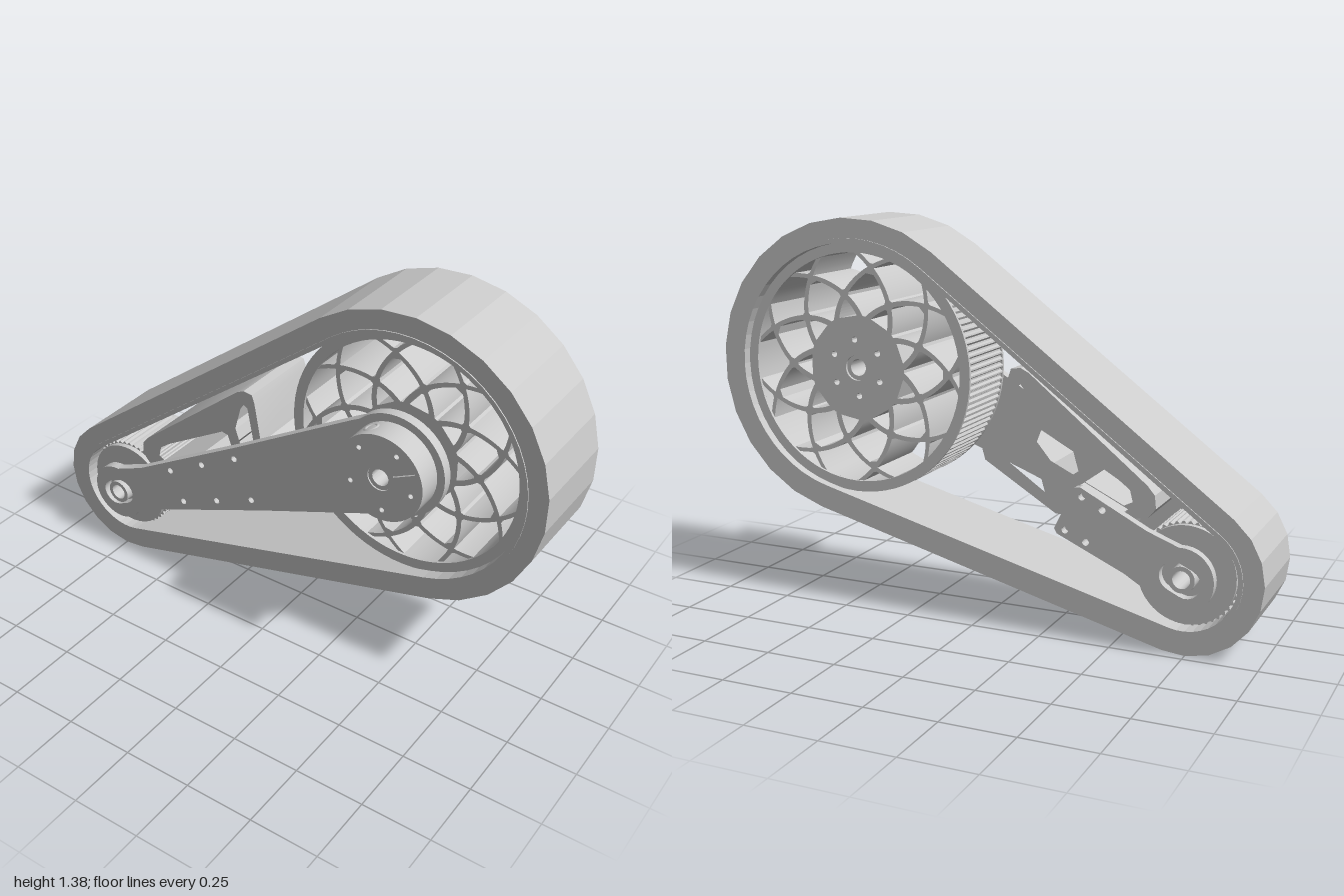
import * as THREE from 'three';
import { toCreasedNormals } from 'three/addons/utils/BufferGeometryUtils.js';

const SMALL = new THREE.Vector2(-0.74, 0.27), BIG = new THREE.Vector2(0.475, 0.86);
const L = SMALL.distanceTo(BIG);
const TILT = Math.atan2(BIG.y - SMALL.y, BIG.x - SMALL.x);
const DEG = Math.PI / 180;
const grey = new THREE.MeshStandardMaterial({ color: 0xcccccc });

const P = (x, y) => new THREE.Vector2(x, y);
// points on an arc
function arc(cx, cy, r, a0, a1, n) {
  return Array.from({ length: n + 1 }, (_, i) => {
    const a = a0 + (a1 - a0) * i / n;
    return P(cx + r * Math.cos(a), cy + r * Math.sin(a));
  });
}
const circle = (cx, cy, r, n = 24) => arc(cx, cy, r, 0, 2 * Math.PI * (1 - 1 / n), n - 1);

// plate between two depths, with holes
function plate(name, outline, holes, z0, z1, crease = 25) {
  const shape = new THREE.Shape(outline);
  shape.holes = holes.map(h => new THREE.Path(h));
  let geo = new THREE.ExtrudeGeometry(shape, { depth: z1 - z0, bevelEnabled: false });
  geo.translate(0, 0, z0);
  if (crease) geo = toCreasedNormals(geo, crease * DEG);
  const mesh = new THREE.Mesh(geo, grey);
  mesh.name = name;
  return mesh;
}

// outline of a loop wrapped round both wheels
function loop(R, r, nBig, nSmall) {
  const b = Math.asin((R - r) / L), q = Math.PI / 2;
  return [...arc(L, 0, R, -q - b, q + b, nBig), ...arc(0, 0, r, q + b, 3 * q - b, nSmall)];
}

// toothed wheel outline
function gear(cx, r, depth, teeth) {
  const pts = [];
  for (let i = 0; i < teeth; i++) {
    [[0, r - depth], [0.25, r], [0.5, r], [0.75, r - depth]].forEach(([f, q]) => {
      const a = (i + f) / teeth * 2 * Math.PI;
      pts.push(P(cx + q * Math.cos(a), q * Math.sin(a)));
    });
  }
  return pts;
}

// window between two crossing spokes; half(r) is its half angle
function cell(theta, r0, r1, half, strut = 0.012) {
  const left = [], right = [], n = 16;
  for (let i = 0; i <= n; i++) {
    const r = r0 + (r1 - r0) * i / n, w = half(r) - strut / r;
    if (w < 0.015) continue;
    right.push(P(L + r * Math.cos(theta - w), r * Math.sin(theta - w)));
    left.unshift(P(L + r * Math.cos(theta + w), r * Math.sin(theta + w)));
  }
  // follow the rim curve across the outer end
  const w = half(r1) - strut / r1;
  const rim = w > 0.05 ? arc(L, 0, r1, theta - w, theta + w, 6).slice(1, -1) : [];
  return [...right, ...rim, ...left];
}

function spokeWindows() {
  const step = 40 * DEG, h = step / 2, mid = 0.26, pitch = 0.1, out = [];
  for (let i = 0; i < 9; i++) {
    const a = i * step - TILT;
    out.push(cell(a, 0.185, mid, r => h * (mid - r) / pitch));
    out.push(cell(a + h, 0.175, mid + pitch, r => h * (1 - Math.abs(r - mid) / pitch)));
    out.push(cell(a, mid, 0.405, r => h * (1 - Math.abs(r - mid - pitch) / pitch)));
    out.push(cell(a + h, mid + pitch, 0.405, r => h * (r - mid - pitch) / pitch));
  }
  return out;
}

// ring of small bolt holes
const boltRing = (cx, r, n, hole, start = 0) => Array.from({ length: n }, (_, i) => {
  const a = start + i / n * 2 * Math.PI;
  return circle(cx + r * Math.cos(a), r * Math.sin(a), hole, 10);
});

// slotted hole for belt tension
const slot = [...arc(0.025, 0, 0.05, -Math.PI / 2, Math.PI / 2, 10), ...arc(-0.02, 0, 0.05, Math.PI / 2, 1.5 * Math.PI, 10)];
const local = ([x, y]) => P(x, y).rotateAround(SMALL, -TILT).sub(SMALL);

export function createModel() {
  const model = new THREE.Group();
  model.name = 'beltDrive';
  // x runs from the small wheel to the big wheel
  const drive = new THREE.Group();
  drive.name = 'drive';
  drive.position.set(SMALL.x, SMALL.y, 0);
  drive.rotation.z = TILT;
  model.add(drive);

  // faceted tread and its inner liner
  drive.add(plate('tread', loop(0.525, 0.265, 15, 9), [loop(0.455, 0.195, 30, 18)], -0.22, 0.13, 0));
  drive.add(plate('treadLiner', loop(0.456, 0.196, 30, 18), [loop(0.44, 0.18, 30, 18)], -0.224, 0.134, 0));

  // big spoked wheel
  drive.add(plate('bigWheel', gear(L, 0.443, 0.008, 120),
    [...spokeWindows(), circle(L, 0, 0.045), ...boltRing(L, 0.1, 6, 0.011)], -0.18, 0.08));
  for (const z of [-0.19, 0.08]) {
    drive.add(plate('wheelFlange', circle(L, 0, 0.443, 72), [circle(L, 0, 0.405, 72)], z, z + 0.01));
  }

  // small pulley with flanges
  drive.add(plate('smallPulley', gear(0, 0.176, 0.008, 46), [circle(0, 0, 0.045)], -0.17, 0.08));
  for (const z of [-0.19, 0.08]) {
    drive.add(plate('pulleyFlange', circle(0, 0, 0.167, 48), [circle(0, 0, 0.045)], z, z + 0.02));
  }
  drive.add(plate('smallAxle', circle(0, 0, 0.045), [circle(0, 0, 0.03)], -0.245, 0.165));

  // front arm
  const bolts = [0.31, 0.48, 0.65].flatMap((s, i) =>
    [-1, 1].map(side => circle(s + 0.02, side * (0.064 + i * 0.009), 0.012, 12)));
  const armOutline = [
    ...arc(0, 0, 0.11, 60 * DEG, 300 * DEG, 24),
    P(0.18, -0.088), P(0.7, -0.125), P(L - 0.1, -0.172),
    ...arc(L, 0, 0.185, -110 * DEG, 110 * DEG, 28),
    P(L - 0.1, 0.172), P(0.7, 0.125), P(0.18, 0.088),
  ];
  drive.add(plate('frontArm', armOutline, [slot, ...bolts, circle(L, 0, 0.05)], 0.13, 0.165));

  // short back arm
  const backOutline = [
    ...arc(0, 0, 0.11, 60 * DEG, 300 * DEG, 24),
    P(0.17, -0.085), P(0.43, -0.092), P(0.446, -0.08), P(0.446, 0.08), P(0.43, 0.092), P(0.17, 0.085),
  ];
  drive.add(plate('backArm', backOutline, [slot, ...bolts.slice(0, 2),
    circle(0.41, 0.066, 0.012, 12), circle(0.41, -0.066, 0.012, 12)], -0.253, -0.22));

  // spacer and windowed bracket between the arms
  drive.add(plate('spacer', [P(0.27, -0.085), P(0.44, -0.085), P(0.44, 0.085), P(0.27, 0.085)],
    [...bolts.slice(0, 2)], -0.22, 0.13));
  const outline = [[-0.6, 0.44], [-0.63, 0.475], [-0.625, 0.52], [-0.6, 0.55], [-0.18, 0.89], [-0.15, 0.905],
    [-0.115, 0.9], [-0.105, 0.87], [-0.08, 0.72], [0, 0.65], [-0.02, 0.58], [-0.28, 0.42], [-0.42, 0.42]];
  const windows = [
    [[-0.55, 0.49], [-0.54, 0.53], [-0.5, 0.56], [-0.25, 0.705], [-0.225, 0.7], [-0.21, 0.66], [-0.26, 0.6], [-0.52, 0.475]],
    [[-0.19, 0.74], [-0.165, 0.83], [-0.15, 0.85], [-0.135, 0.84], [-0.11, 0.7], [-0.17, 0.68]],
    [[-0.22, 0.56], [-0.09, 0.63], [-0.08, 0.6], [-0.24, 0.49]],
  ];
  drive.add(plate('bracket', outline.map(local), windows.map(w => w.map(local)), -0.18, 0.13));

  // clamping hub on the big axle
  drive.add(plate('hubNeck', circle(L, 0, 0.14, 48), [circle(L, 0, 0.045)], 0.09, 0.13));
  drive.add(plate('hub', circle(L, 0, 0.157, 48),
    [circle(L, 0, 0.045), ...boltRing(L, 0.118, 5, 0.009, 0.6),
      [P(L + 0.055, -0.002), P(L + 0.14, -0.002), P(L + 0.14, 0.002), P(L + 0.055, 0.002)]], 0.165, 0.255));
  drive.add(plate('bigAxle', circle(L, 0, 0.046), [circle(L, 0, 0.03)], -0.17, 0.25));

  // set screws round the hub
  for (const deg of [115, -67]) {
    const a = deg * DEG - TILT;
    const screw = new THREE.Mesh(new THREE.TorusGeometry(0.021, 0.007, 8, 20), grey);
    screw.name = 'setScrew';
    screw.position.set(L + 0.152 * Math.cos(a), 0.152 * Math.sin(a), 0.205);
    screw.rotation.set(Math.PI / 2, a + Math.PI / 2, 0, 'ZXY');
    screw.lookAt(screw.position.clone().add(new THREE.Vector3(Math.cos(a), Math.sin(a), 0)));
    drive.add(screw);
  }
  return model;
}
